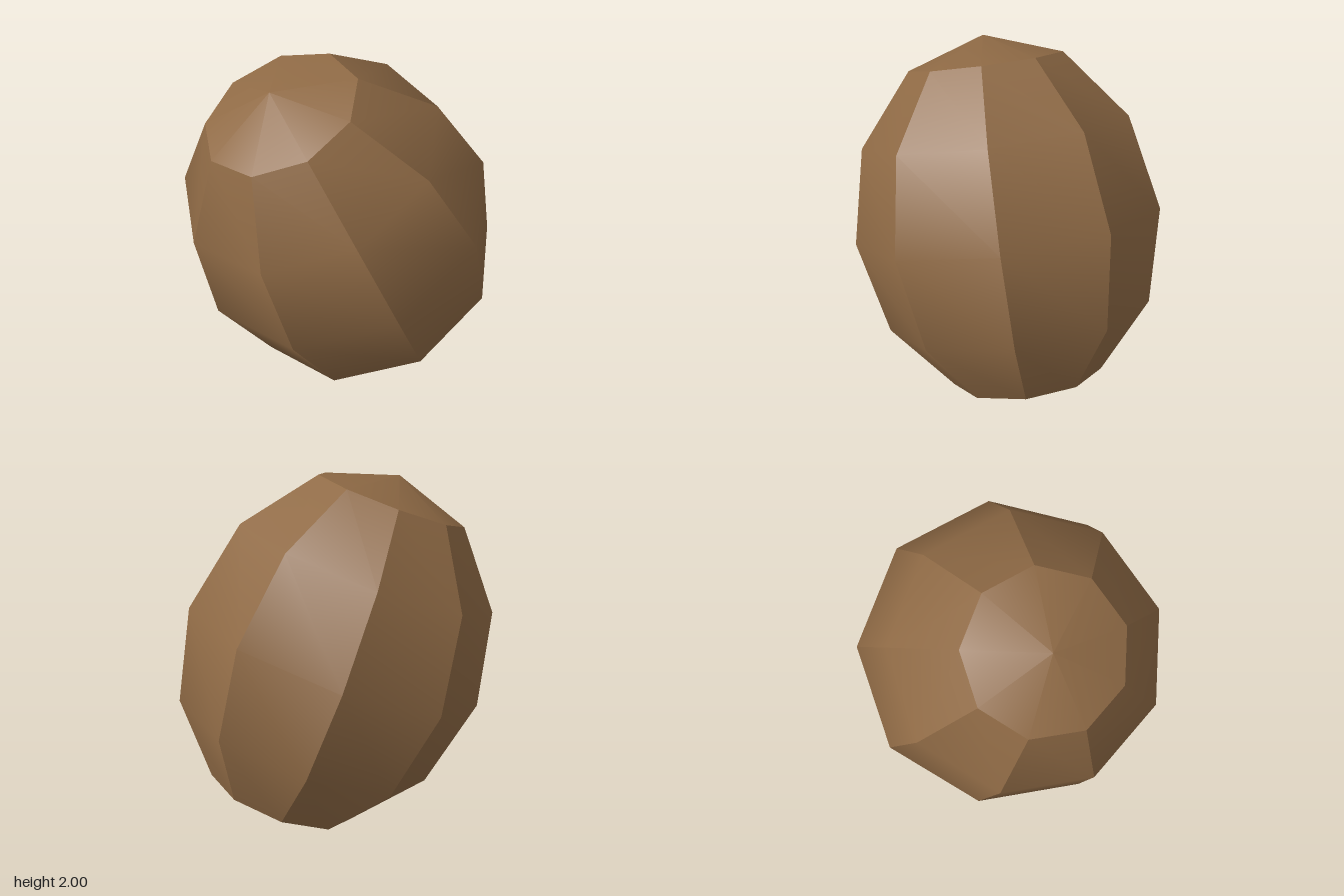
import * as THREE from 'three';
import { toCreasedNormals } from 'three/addons/utils/BufferGeometryUtils.js';

export function createModel() {
  const group = new THREE.Group();
  group.name = 'tiltedNut';

  const brown = new THREE.MeshStandardMaterial({ color: 0x8f6a45 });
  brown.name = 'brown';

  // Nine-sided, six-row egg-like body, stretched along its axis
  const body = new THREE.SphereGeometry(1, 9, 6);
  body.scale(0.862, 1.049, 0.862);

  // Lean the top towards -x and rest the lowest corner on the ground
  body.rotateZ(0.408);
  body.computeBoundingBox();
  const box = body.boundingBox;
  body.translate(-(box.min.x + box.max.x) / 2, -box.min.y, 0);

  // Sharp edges between columns and caps, smooth along each column
  const shell = new THREE.Mesh(toCreasedNormals(body, THREE.MathUtils.degToRad(30)), brown);
  shell.name = 'shell';
  group.add(shell);

  return group;
}
